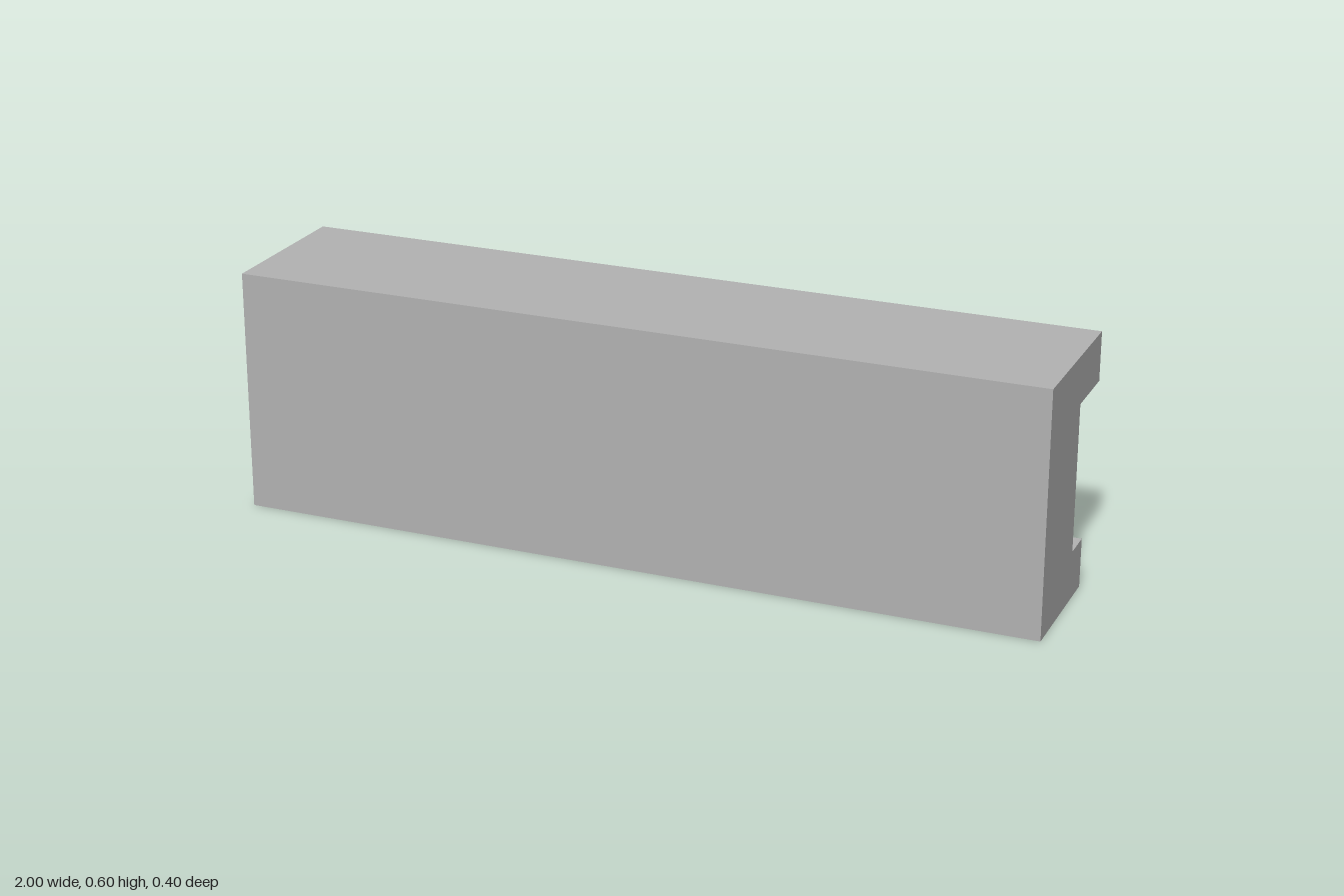
import * as THREE from 'three';

const LENGTH = 2;

export function createModel() {
  const group = new THREE.Group();
  group.name = 'channelBeam';

  const grey = new THREE.MeshStandardMaterial({ color: 0xb3b3b3 });
  grey.name = 'light grey';

  // Cross-section as [depth towards the back, height]: web, long top flange, short bottom flange
  const section = [
    [-0.2, 0], [0.12, 0], [0.12, 0.12], [0.04, 0.12],
    [0.04, 0.48], [0.2, 0.48], [0.2, 0.6], [-0.2, 0.6],
  ];
  const shape = new THREE.Shape(section.map(([d, y]) => new THREE.Vector2(d, y)));

  // Extrude, centre, and turn so the beam runs along x with its flanges to the back
  const geometry = new THREE.ExtrudeGeometry(shape, { depth: LENGTH, bevelEnabled: false });
  geometry.translate(0, 0, -LENGTH / 2);
  geometry.rotateY(Math.PI / 2);

  const beam = new THREE.Mesh(geometry, grey);
  beam.name = 'beam';
  group.add(beam);
  return group;
}
